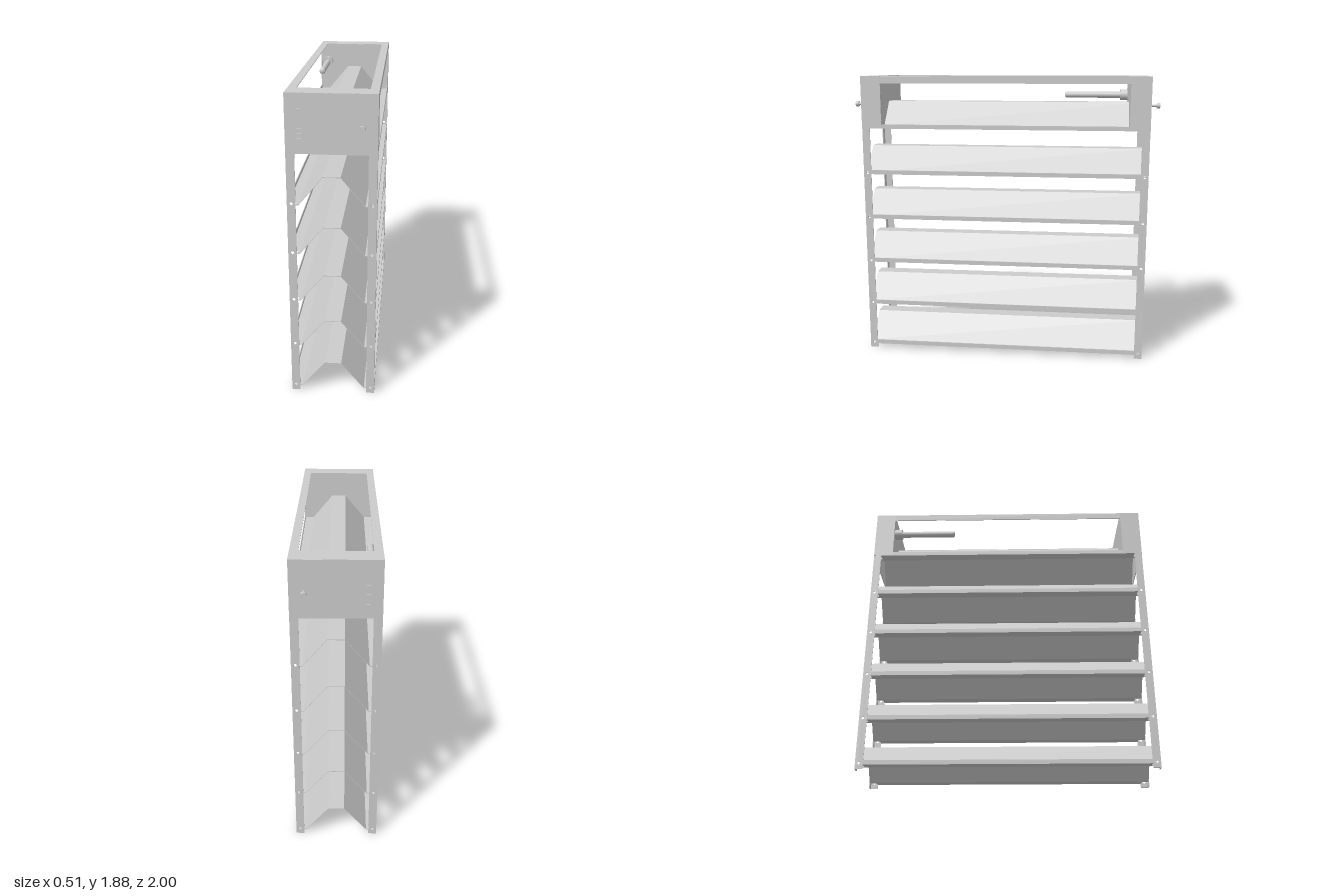
import * as THREE from 'three';

const W = 0.255, D = 0.94, H = 1.875, T = 0.005;   // half width, half depth, height, sheet thickness
const HEAD = 1.535;                                // underside of the head section
const shelfY = [0.027, 0.32, 0.622, 0.926, 1.23, HEAD];

export function createModel() {
  const model = new THREE.Group();
  const mat = new THREE.MeshStandardMaterial({ color: 0xcccccc, side: THREE.DoubleSide });

  const add = (name, geo, x, y, z, parent = model) => {
    const mesh = new THREE.Mesh(geo, mat);
    mesh.name = name;
    mesh.position.set(x, y, z);
    parent.add(mesh);
    return mesh;
  };
  const box = (name, w, h, d, x, y, z, parent) =>
    add(name, new THREE.BoxGeometry(w, h, d), x, y, z, parent);
  const rod = (name, r, z0, z1, x, y, parent) => {
    const geo = new THREE.CylinderGeometry(r, r, Math.abs(z1 - z0), 20).rotateX(Math.PI / 2);
    return add(name, geo, x, y, (z0 + z1) / 2, parent);
  };
  const plate = (points, depth, holes = []) => {
    const shape = new THREE.Shape(points.map(p => new THREE.Vector2(...p)));
    for (const [x, y, r] of holes) shape.holes.push(new THREE.Path().absarc(x, y, r, 0, Math.PI * 2, true));
    const geo = new THREE.ExtrudeGeometry(shape, { depth, bevelEnabled: false, curveSegments: 8 });
    return geo.translate(0, 0, -depth / 2);
  };

  // Corner posts: drilled angle sections
  const flange = plate([[-0.025, 0], [0.025, 0], [0.025, H], [-0.025, H]], T,
    shelfY.slice(0, 5).map(y => [0, y + 0.01, 0.009]));
  for (const sx of [-1, 1]) for (const sz of [-1, 1]) {
    const post = new THREE.Group();
    post.name = 'cornerPost';
    add('postEndFlange', flange, sx * (W - 0.025), 0, sz * (D - T / 2), post);
    add('postSideFlange', flange, sx * (W - T / 2), 0, sz * (D - 0.025), post).rotation.y = Math.PI / 2;
    model.add(post);
  }

  // Ridged shelves, each with an angle rail along both sides
  const ridge = [[-0.205, 0], [-0.19, 0], [-0.05, 0.168], [0.05, 0.168], [0.19, 0], [0.205, 0]];
  const ridgeGeo = plate([...ridge, ...ridge.map(([x, y]) => [x, y + 0.004]).reverse()], 2 * (D - 0.006));
  for (const y of shelfY) {
    const shelf = new THREE.Group();
    shelf.name = 'ridgedShelf';
    shelf.position.y = y;
    add('ridgedSheet', ridgeGeo, 0, 0, 0, shelf);
    for (const s of [-1, 1]) {
      box('railLip', T, 0.028, 1.78, s * (W - T / 2), 0.014, 0, shelf);
      box('railFlange', 0.05, 0.004, 1.78, s * (W - 0.025), 0.002, 0, shelf);
    }
    model.add(shelf);
  }

  // Top rails: angle sections
  for (const s of [-1, 1]) {
    box('topRailSide', T, 0.045, 2 * D, s * (W - T / 2), H - 0.0225, 0);
    box('topRailFlange', 0.05, T, 2 * D, s * (W - 0.025), H - T / 2, 0);
  }

  // Head end boxes with louvres and bolts
  const innerPanel = plate([
    ...ridge.map(([x, y]) => [x, HEAD + y]),
    [W - T, HEAD], [W - T, H - T], [-W + T, H - T], [-W + T, HEAD]], T);
  const headH = H - HEAD, headY = (H + HEAD) / 2;
  for (const s of [-1, 1]) {
    const end = new THREE.Group();
    end.name = 'headEnd';
    box('headOuterPanel', 2 * W, headH, T, 0, headY, s * (D - T / 2 + 0.001), end);
    add('headInnerPanel', innerPanel, 0, 0, s * (0.81 + T / 2), end);
    box('headTopPlate', 2 * W, T, 0.13, 0, H - T / 2 + 0.0005, s * 0.875, end);
    for (const sx of [-1, 1])
      box('headSidePlate', T, headH, 0.13, sx * (W - T / 2 + 0.0005), headY, s * 0.875, end);
    for (const base of [1.605, 1.715]) for (let i = 0; i < 3; i++)
      box('louvre', 0.027, 0.017, 0.006, -0.175, base + 0.009 + i * 0.028, s * (D + 0.002), end);
    rod('boltShank', 0.008, s * 0.93, s * 0.985, 0.172, 1.693, end);
    rod('boltHead', 0.018, s * 0.98, s * 1.0, 0.172, 1.693, end);
    model.add(end);
  }

  // Probe rod inside the head, fixed to the back inner panel
  const probe = new THREE.Group();
  probe.name = 'probe';
  rod('probeMount', 0.036, -0.81, -0.76, -0.2, 1.745, probe);
  rod('probeRod', 0.021, -0.765, -0.39, -0.2, 1.745, probe);
  const tip = new THREE.SphereGeometry(0.021, 20, 8, 0, Math.PI * 2, 0, Math.PI / 2).rotateX(Math.PI / 2);
  tip.scale(1, 1, 0.5);
  add('probeTip', tip, -0.2, 1.745, -0.39, probe);
  model.add(probe);

  return model;
}
